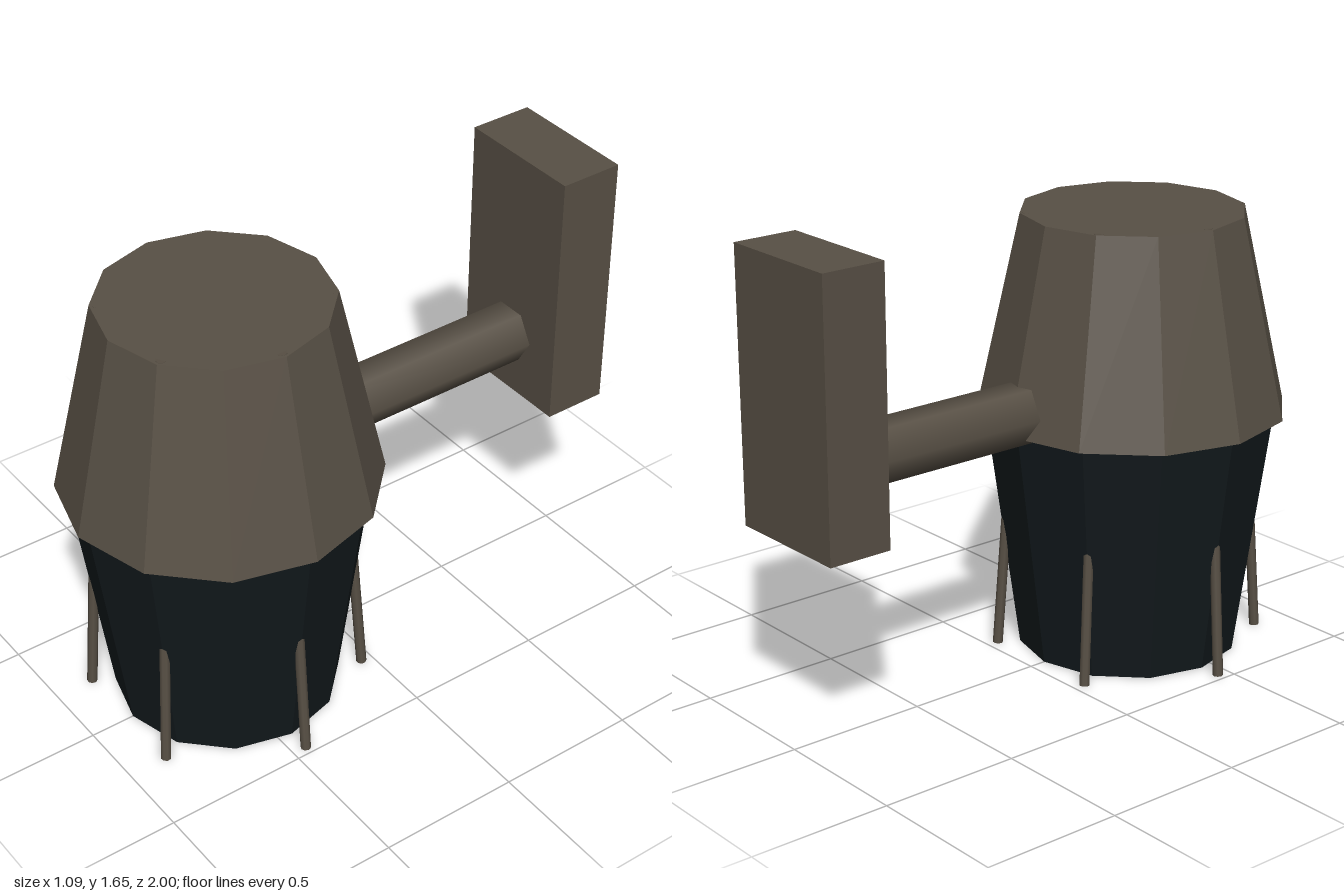
import * as THREE from 'three';

export function createModel() {
  const model = new THREE.Group();
  model.name = 'wallLantern';
  const centerZ = 0.45;

  const bronze = new THREE.MeshStandardMaterial({ color: 0x585045, flatShading: true });
  const bronzeSmooth = new THREE.MeshStandardMaterial({ color: 0x585045 });
  const glass = new THREE.MeshStandardMaterial({ color: 0x12191c, flatShading: true, side: THREE.DoubleSide });
  const warm = new THREE.MeshStandardMaterial({ color: 0xdcb070 });

  function add(name, geometry, material, x, y, z, parent = model) {
    const mesh = new THREE.Mesh(geometry, material);
    mesh.name = name;
    mesh.position.set(x, y, z);
    parent.add(mesh);
    return mesh;
  }

  // Wall plate and the six-sided arm
  add('wallPlate', new THREE.BoxGeometry(0.47, 0.94, 0.23), bronze, 0, 1.18, -0.885);
  const arm = new THREE.CylinderGeometry(0.108, 0.108, 0.8, 6);
  arm.rotateY(Math.PI / 2).rotateX(Math.PI / 2);
  add('arm', arm, bronzeSmooth, 0, 0.945, -0.4);

  // Twelve-sided cap over an open, tapering shade
  add('cap', new THREE.CylinderGeometry(0.39, 0.545, 0.7, 12), bronze, 0, 1.22, centerZ);
  add('shade', new THREE.CylinderGeometry(0.51, 0.39, 0.87, 12, 1, true), glass, 0, 0.435, centerZ);

  // Six ribs leaning inward, running up to the top of the cap
  const ribs = new THREE.Group();
  ribs.name = 'ribs';
  ribs.position.z = centerZ;
  model.add(ribs);
  const low = new THREE.Vector2(0.471, 0.001);
  const high = new THREE.Vector2(0.363, 1.57);
  const lean = Math.atan2(low.x - high.x, high.y - low.y);
  for (let i = 0; i < 6; i++) {
    const geometry = new THREE.CylinderGeometry(0.018, 0.018, low.distanceTo(high), 8);
    geometry.rotateZ(lean).translate((low.x + high.x) / 2, (low.y + high.y) / 2, 0);
    geometry.rotateY((i * Math.PI) / 3);
    add('rib', geometry, bronzeSmooth, 0, 0, 0, ribs);
  }

  // Light bulb hanging inside the shade
  const bulbProfile = [[0, 0.2], [0.06, 0.212], [0.115, 0.25], [0.145, 0.31], [0.145, 0.37],
    [0.12, 0.45], [0.075, 0.54], [0.06, 0.62]].map(([x, y]) => new THREE.Vector2(x, y));
  add('bulb', new THREE.LatheGeometry(bulbProfile, 16), warm, 0, 0, centerZ);
  add('socket', new THREE.CylinderGeometry(0.07, 0.07, 0.27, 12), bronzeSmooth, 0, 0.745, centerZ);

  return model;
}
